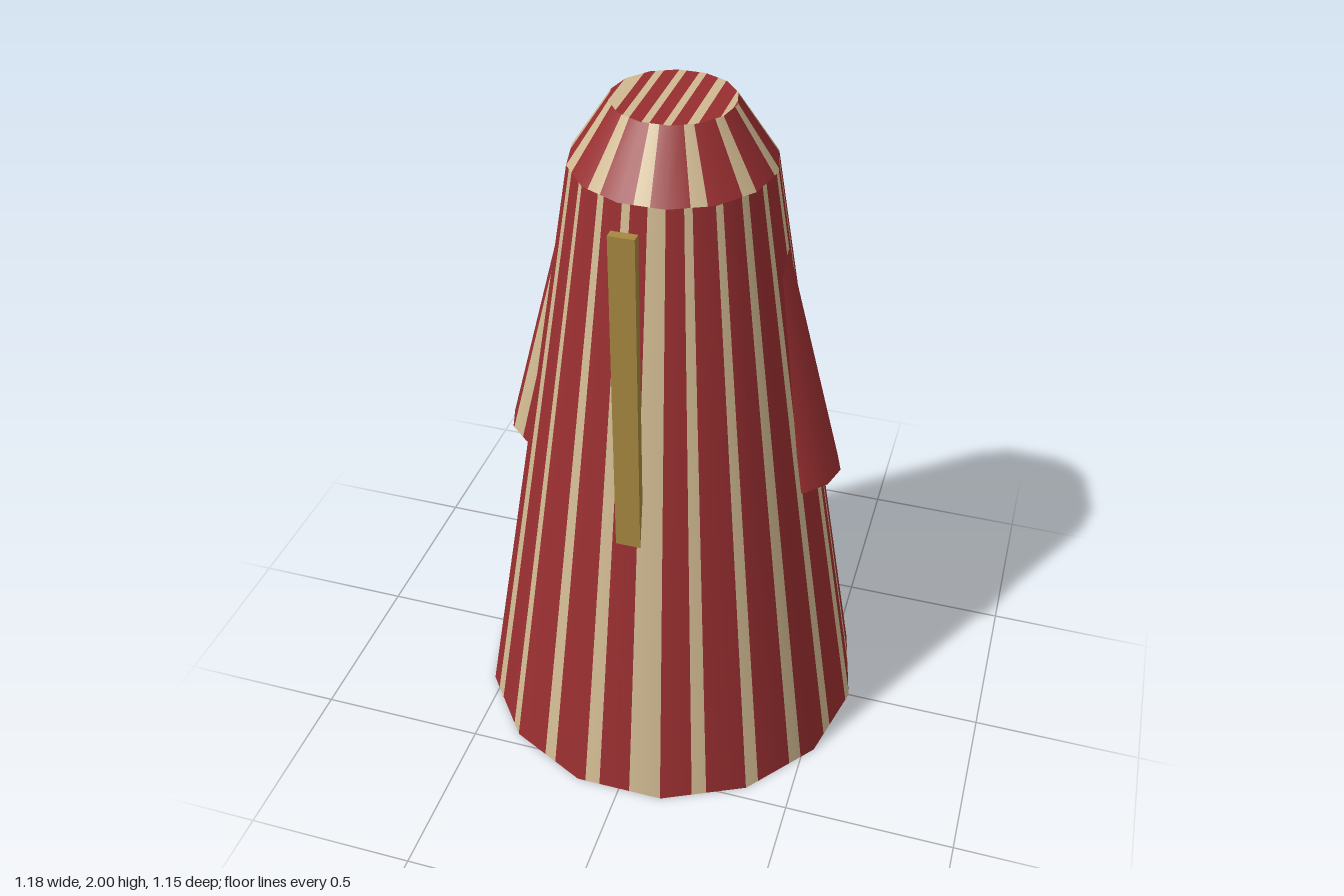
import * as THREE from 'three';

const red = new THREE.MeshStandardMaterial({ color: 0x982e30, side: THREE.DoubleSide });
red.name = 'red cloth';
const cream = new THREE.MeshStandardMaterial({ color: 0xd0b991, side: THREE.DoubleSide });
cream.name = 'cream stripe';
const gold = new THREE.MeshStandardMaterial({ color: 0xa5873f });
gold.name = 'gold trim';

const TAU = Math.PI * 2;
const rad = (d) => d * Math.PI / 180;

// Geometry from two quad lists: group 0 red, group 1 cream
function twoTone(quads) {
  const pos = [], nor = [], geo = new THREE.BufferGeometry();
  for (const tone of [0, 1]) {
    const start = pos.length / 3;
    for (const q of quads.filter((k) => k.tone === tone)) {
      for (const i of [0, 1, 2, 0, 2, 3]) {
        pos.push(...q.p[i]);
        nor.push(...q.n[i]);
      }
    }
    geo.addGroup(start, pos.length / 3 - start, tone);
  }
  geo.setAttribute('position', new THREE.Float32BufferAttribute(pos, 3));
  geo.setAttribute('normal', new THREE.Float32BufferAttribute(nor, 3));
  return geo;
}

const sortedUnique = (list) => list.sort((a, b) => a - b).filter((v, i, l) => i === 0 || v - l[i - 1] > 1e-5);

// Many-sided cone band; stripes are [centre, width] in degrees from +z towards +x
function stripedBand(sides, r0, y0, r1, y1, stripes) {
  const step = TAU / sides, first = Math.PI / 2;
  const wrap = (a) => ((a % TAU) + TAU) % TAU;
  const cuts = [0, TAU];
  for (let i = 0; i < sides; i++) cuts.push(wrap(first + i * step));
  for (const [c, w] of stripes) cuts.push(wrap(rad(c - w / 2)), wrap(rad(c + w / 2)));
  const angles = sortedUnique(cuts);
  const facet = (a) => Math.cos(step / 2) / Math.cos(wrap(a - first + 1e-9) % step - step / 2);
  const point = (a, r, y) => [Math.sin(a) * r * facet(a), y, Math.cos(a) * r * facet(a)];
  const slope = Math.atan2(r0 - r1, y1 - y0);
  const normal = (a) => [Math.sin(a) * Math.cos(slope), Math.sin(slope), Math.cos(a) * Math.cos(slope)];
  const quads = [];
  for (let i = 0; i < angles.length - 1; i++) {
    const a = angles[i], b = angles[i + 1], mid = (a + b) / 2;
    const onStripe = stripes.some(([c, w]) => {
      const d = wrap(mid - rad(c));
      return Math.min(d, TAU - d) < rad(w / 2);
    });
    quads.push({
      tone: onStripe ? 1 : 0,
      p: [point(a, r0, y0), point(b, r0, y0), point(b, r1, y1), point(a, r1, y1)],
      n: [normal(a), normal(b), normal(b), normal(a)],
    });
  }
  return twoTone(quads);
}

// Flat polygon cap with straight stripes running front to back
function stripedCap(sides, r, y, up) {
  const stripes = [[-0.8, 0.22], [-0.48, 0.12], [-0.14, 0.12], [0.19, 0.12], [0.54, 0.15], [0.92, 0.1]];
  const corners = [];
  for (let i = 0; i <= sides / 2; i++) corners.push([-Math.cos(i * TAU / sides), Math.sin(i * TAU / sides)]);
  const cuts = corners.map((c) => c[0]);
  for (const [c, w] of stripes) cuts.push(c - w / 2, c + w / 2);
  const xs = sortedUnique(cuts);
  const depth = (x) => {
    const i = Math.min(corners.length - 1, Math.max(1, corners.findIndex((c) => c[0] >= x - 1e-9)));
    const [xa, za] = corners[i - 1], [xb, zb] = corners[i];
    return za + (zb - za) * (x - xa) / (xb - xa);
  };
  const n = [0, up ? 1 : -1, 0], quads = [];
  for (let i = 0; i < xs.length - 1; i++) {
    const a = xs[i], b = xs[i + 1], mid = (a + b) / 2;
    const p = [[a, depth(a)], [b, depth(b)], [b, -depth(b)], [a, -depth(a)]].map(([x, z]) => [x * r, y, z * r]);
    if (!up) p.reverse();
    quads.push({
      tone: stripes.some(([c, w]) => Math.abs(mid - c) < w / 2) ? 1 : 0,
      p, n: [n, n, n, n],
    });
  }
  return twoTone(quads);
}

export function createModel() {
  const model = new THREE.Group();
  model.name = 'stripedRobe';
  const add = (name, geo, mat = [red, cream]) => {
    const mesh = new THREE.Mesh(geo, mat);
    mesh.name = name;
    model.add(mesh);
    return mesh;
  };

  // Robe: 22 stripes, four of them wide
  const robeStripes = [];
  for (let i = 0; i < 22; i++) {
    robeStripes.push([8 + i * 360 / 22, [0, 7, 12, 17].includes(i) ? 9.5 : 4.4]);
  }
  add('robeBody', stripedBand(14, 0.59, 0, 0.28, 1.83, robeStripes));

  // Shoulders: 12 stripes
  const shoulderStripes = [];
  for (let i = 0; i < 12; i++) shoulderStripes.push([i * 30, i === 4 || i === 9 ? 13 : 9]);
  add('shoulders', stripedBand(14, 0.28, 1.83, 0.167, 2, shoulderStripes));

  add('neckCap', stripedCap(14, 0.167, 2, true));
  add('hemCap', stripedCap(14, 0.59, 0, false));

  // Sleeves: open cones leaning out along the robe
  for (const [side, name, stripes] of [
    [1, 'leftSleeve', [[152, 22], [-20, 22]]],
    [-1, 'rightSleeve', [[-140, 24], [-40, 24]]],
  ]) {
    const sleeve = add(name, stripedBand(10, 0.12, 0, 0.075, 0.93, stripes));
    sleeve.position.set(side * 0.385, 0.885, 0);
    sleeve.rotation.z = side * 0.21;
  }

  // Hanging front band
  add('frontBand', new THREE.BoxGeometry(0.07, 0.97, 0.027), gold).position.set(0, 1.345, 0.422);

  return model;
}
